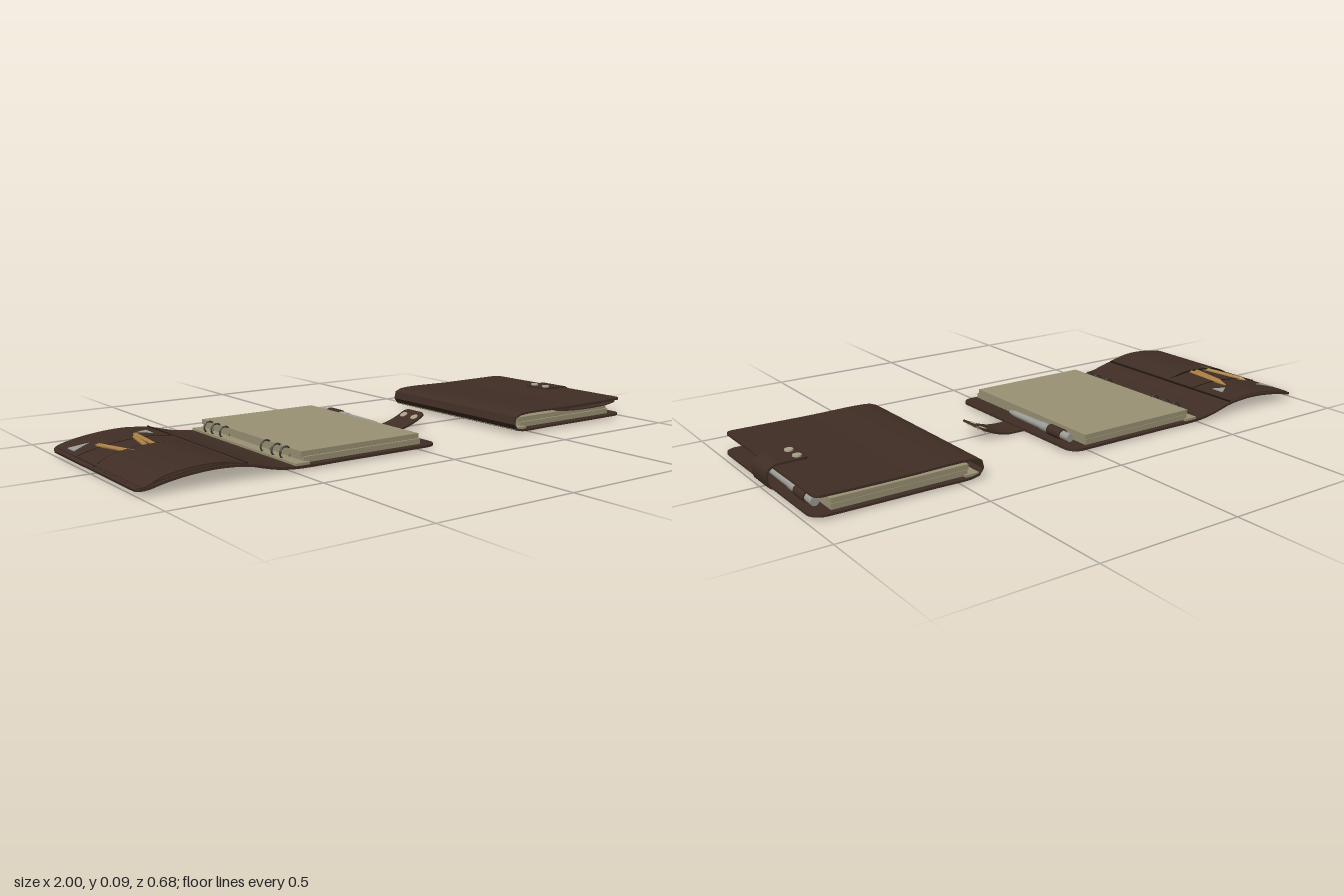
import * as THREE from 'three';
import { toCreasedNormals } from 'three/addons/utils/BufferGeometryUtils.js';

const mat = (name, color) => new THREE.MeshStandardMaterial({ name, color });
const leather = mat('brown leather', 0x402e25);
const seam = mat('dark stitching', 0x211813);
const paper = mat('cream paper', 0x9a9274);
const wood = mat('pencil wood', 0xb08444);
const lead = mat('pencil lead', 0x2e2822);
const metal = mat('grey metal', 0x9b9b96);
const ringMetal = mat('dark ring metal', 0x3c3a36);
const stud = mat('pale stud', 0xa9a288);

function add(parent, name, geometry, material, x = 0, y = 0, z = 0) {
  const m = new THREE.Mesh(geometry, material);
  m.name = name;
  m.position.set(x, y, z);
  parent.add(m);
  return m;
}

// Bent sheet: follows an x/y profile, spans z0..z1, rounded corners at either end
function sheet(profile, z0, z1, t, r0 = 0, r1 = 0, n = 48) {
  const curve = new THREE.CatmullRomCurve3(profile.map(([x, y]) => new THREE.Vector3(x, y, 0)));
  const len = curve.getLength(), pos = [], idx = [];
  const inset = (d, r) => (d < r ? r - Math.sqrt(r * r - (r - d) ** 2) : 0);
  for (let i = 0; i <= n; i++) {
    const u = (1 - Math.cos((Math.PI * i) / n)) / 2;
    const p = curve.getPointAt(u), g = curve.getTangentAt(u);
    const nx = (-g.y * t) / 2, ny = (g.x * t) / 2;
    const k = Math.max(inset(u * len, r0), inset((1 - u) * len, r1));
    pos.push(p.x + nx, p.y + ny, z0 + k, p.x + nx, p.y + ny, z1 - k);
    pos.push(p.x - nx, p.y - ny, z1 - k, p.x - nx, p.y - ny, z0 + k);
  }
  for (let i = 0; i < n; i++)
    for (let j = 0; j < 4; j++) {
      const k = (j + 1) % 4, a = i * 4 + j, b = i * 4 + k;
      idx.push(a, b, b + 4, a, b + 4, a + 4);
    }
  const e = n * 4;
  idx.push(0, 2, 1, 0, 3, 2, e, e + 1, e + 2, e, e + 2, e + 3);
  const geo = new THREE.BufferGeometry();
  geo.setAttribute('position', new THREE.Float32BufferAttribute(pos, 3));
  geo.setIndex(idx);
  return toCreasedNormals(geo, 0.7);
}

// Tapered rod between two points
function rod(parent, name, a, b, rA, rB, material, sides = 16) {
  const p = new THREE.Vector3(...a), q = new THREE.Vector3(...b), d = q.clone().sub(p);
  const m = add(parent, name, new THREE.CylinderGeometry(rB, rA, d.length(), sides), material);
  m.position.copy(p).lerp(q, 0.5);
  m.quaternion.setFromUnitVectors(new THREE.Vector3(0, 1, 0), d.normalize());
}

function pencil(parent, tip, end) {
  const at = (f) => tip.map((v, i) => v + (end[i] - v) * f);
  rod(parent, 'pencilShaft', end, at(0.14), 0.0085, 0.0085, wood, 6);
  rod(parent, 'pencilPoint', at(0.14), at(0.03), 0.0085, 0.002, wood, 6);
  rod(parent, 'pencilLead', at(0.03), tip, 0.002, 0.0005, lead, 6);
}

// Paper, ring binder and pen, shared by both notebooks
function contents(offset) {
  const g = new THREE.Group();
  g.name = 'contents';
  g.position.x = offset;
  add(g, 'bindingStrip', new THREE.BoxGeometry(0.05, 0.008, 0.67), paper, -0.462, 0.018, 0);
  add(g, 'lowerPages', new THREE.BoxGeometry(0.455, 0.018, 0.645), paper, -0.221, 0.026, -0.003);
  add(g, 'upperPages', new THREE.BoxGeometry(0.46, 0.017, 0.635), paper, -0.224, 0.043, -0.006);
  for (const z of [-0.25, -0.2, -0.14, 0.125, 0.19, 0.24])
    add(g, 'binderRing', new THREE.TorusGeometry(0.02, 0.003, 8, 24), ringMetal, -0.465, 0.036, z);

  const px = 0.034, py = 0.034;
  rod(g, 'penCap', [px, py, -0.28], [px, py, -0.125], 0.014, 0.015, metal);
  rod(g, 'penBarrel', [px, py, -0.125], [px, py, 0.035], 0.013, 0.011, metal);
  rod(g, 'penTip', [px, py, 0.035], [px, py, 0.065], 0.011, 0.006, metal);
  rod(g, 'penLoop', [px, py, -0.24], [px, py, -0.17], 0.019, 0.019, leather, 20);
  return g;
}

// Pair of round studs, capping both faces of a strap
function studs(parent, x, y, tilt) {
  for (const z of [-0.03, 0.03]) {
    const pin = add(parent, 'stud', new THREE.CylinderGeometry(0.014, 0.016, 0.014, 20), stud, x, y, z);
    pin.rotation.z = tilt;
  }
}

// Metal corner triangle lying on the flap
function cornerPlate(parent, x0, x1, z, heightAt) {
  const s = new THREE.Shape([[x0, z - 0.027], [x1, z], [x0, z + 0.027]].map(([a, b]) => new THREE.Vector2(a, -b)));
  const geo = new THREE.ExtrudeGeometry(s, { depth: 0.005, bevelEnabled: false });
  geo.rotateX(-Math.PI / 2);
  const p = geo.attributes.position;
  for (let i = 0; i < p.count; i++) p.setY(i, p.getY(i) + heightAt(p.getX(i)));
  geo.computeVertexNormals();
  add(parent, 'cornerPlate', geo, metal);
}

function openNotebook() {
  const g = new THREE.Group();
  g.name = 'openNotebook';
  const cover = [[-0.997, 0.012], [-0.93, 0.03], [-0.85, 0.043], [-0.75, 0.049], [-0.65, 0.041],
    [-0.57, 0.021], [-0.5, 0.011], [-0.3, 0.01], [0.07, 0.01]];
  const heightAt = (x) => {
    const i = Math.max(1, cover.findIndex((c) => c[0] >= x));
    const [a, b] = [cover[i - 1], cover[i]];
    return a[1] + ((b[1] - a[1]) * (x - a[0])) / (b[0] - a[0]);
  };
  add(g, 'cover', sheet(cover, -0.34, 0.338, 0.008, 0.045, 0.045), leather);

  // Flap lining, its seam and the two pocket layers
  const lift = (h) => [-0.985, -0.93, -0.85, -0.75, -0.66].map((x) => [x, heightAt(x) + h]);
  add(g, 'flapLining', sheet(lift(0.005), -0.33, 0.33, 0.004, 0.035, 0), leather);
  add(g, 'innerPocket', sheet(lift(0.0075), -0.14, 0.33, 0.003), leather);
  add(g, 'liningSeam', sheet([[-0.658, 0.0475], [-0.655, 0.047], [-0.652, 0.0465]], -0.335, 0.333, 0.006, 0, 0, 4), seam);
  add(g, 'innerPocketEdge', sheet(lift(0.009), -0.143, -0.14, 0.002), seam);
  const pocket = [[-0.99, 0.017], [-0.93, 0.046], [-0.85, 0.06], [-0.75, 0.063], [-0.655, 0.046]];
  add(g, 'frontPocket', sheet(pocket, 0, 0.337, 0.005, 0.035, 0), leather);
  add(g, 'frontPocketEdge', sheet(pocket, -0.003, 0, 0.005), seam);

  cornerPlate(g, -0.97, -0.91, -0.227, (x) => heightAt(x) + 0.005);
  cornerPlate(g, -0.70, -0.742, -0.227, (x) => heightAt(x) + 0.005);
  pencil(g, [-0.91, 0.045, -0.18], [-0.868, 0.053, 0.03]);
  pencil(g, [-0.765, 0.058, -0.215], [-0.788, 0.058, 0.03]);
  pencil(g, [-0.78, 0.058, -0.18], [-0.818, 0.057, 0.03]);

  g.add(contents(0));
  const strap = [[-0.03, 0.004], [0.07, 0.004], [0.14, 0.007], [0.2, 0.026], [0.248, 0.05]];
  add(g, 'strap', sheet(strap, -0.055, 0.055, 0.007, 0, 0.02), leather);
  studs(g, 0.218, 0.033, 0.43);
  return g;
}

function closedNotebook() {
  const g = new THREE.Group();
  g.name = 'closedNotebook';
  const cover = [[0.985, 0.011], [0.85, 0.01], [0.6, 0.01], [0.45, 0.011], [0.425, 0.02], [0.418, 0.04],
    [0.425, 0.06], [0.45, 0.068], [0.7, 0.069], [0.975, 0.071]];
  add(g, 'cover', sheet(cover, -0.34, 0.338, 0.007, 0.045, 0.025, 72), leather);

  // Folded flap: lining, pocket and pencils facing down
  add(g, 'flapLining', sheet([[0.63, 0.063], [0.8, 0.063], [0.96, 0.065]], -0.33, 0.33, 0.004, 0, 0.03), leather);
  add(g, 'frontPocket', sheet([[0.63, 0.062], [0.72, 0.054], [0.88, 0.054], [0.96, 0.064]], 0, 0.335, 0.004, 0, 0.03), leather);
  pencil(g, [0.88, 0.056, -0.18], [0.838, 0.057, 0.03]);
  pencil(g, [0.735, 0.056, -0.215], [0.758, 0.057, 0.03]);
  pencil(g, [0.75, 0.056, -0.18], [0.788, 0.057, 0.03]);

  g.add(contents(0.915));
  const strap = [[0.885, 0.004], [0.965, 0.004], [0.99, 0.012], [0.996, 0.035], [0.992, 0.062],
    [0.97, 0.077], [0.93, 0.079], [0.86, 0.079]];
  add(g, 'strap', sheet(strap, -0.055, 0.055, 0.007, 0, 0.015), leather);
  studs(g, 0.887, 0.081, 0);
  return g;
}

export function createModel() {
  const model = new THREE.Group();
  model.name = 'notebooks';
  model.add(openNotebook(), closedNotebook());
  return model;
}
